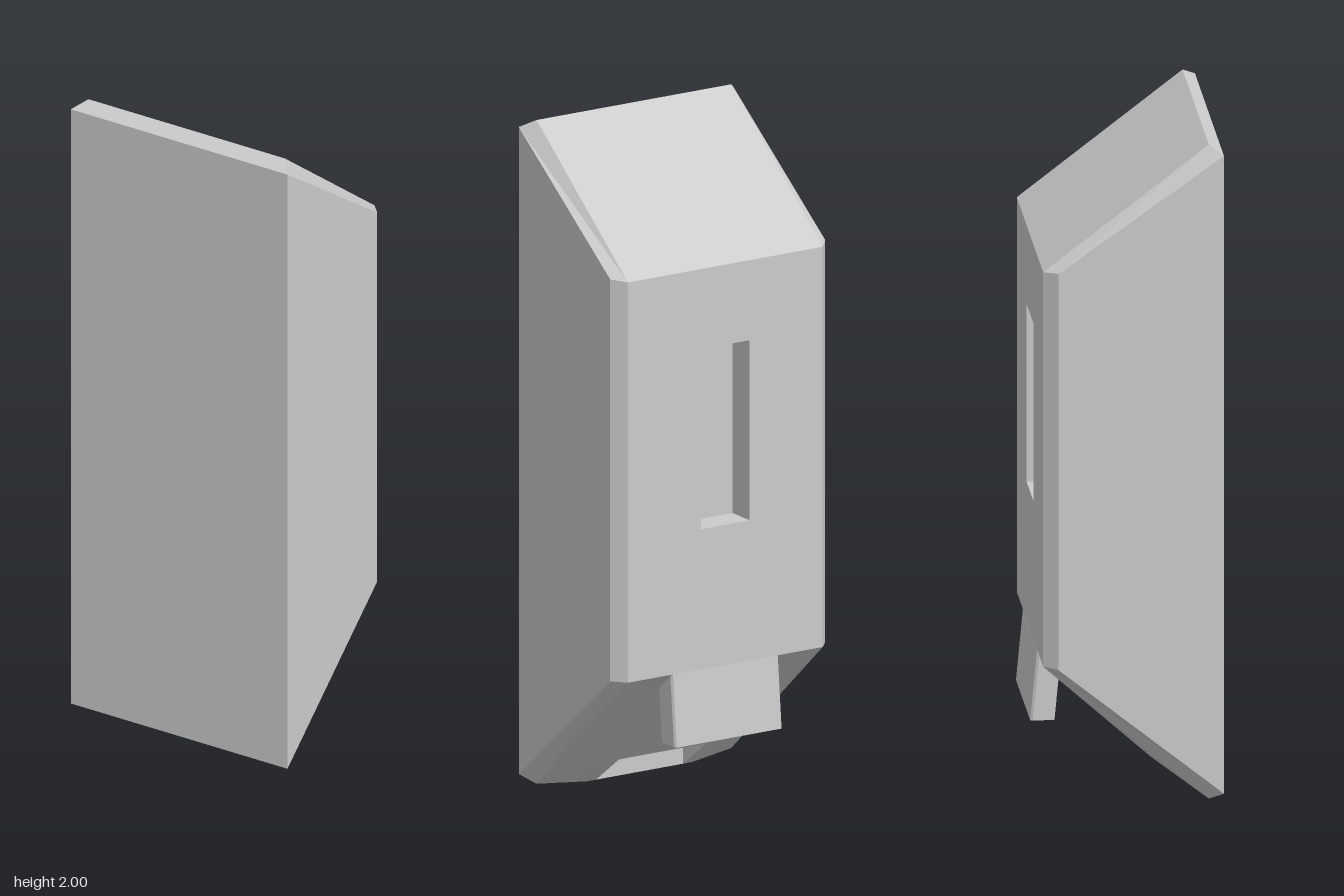
import * as THREE from 'three';

const material = new THREE.MeshStandardMaterial({ color: 0xcccccc, flatShading: true });

// Collects flat faces; each one is turned to face along its hint direction.
function faceBuilder() {
  const positions = [];
  const face = (corners, hint) => {
    const p = corners.map((c) => new THREE.Vector3(...c));
    const normal = new THREE.Vector3();
    for (let i = 1; i < p.length - 1; i++) {
      normal.add(p[i].clone().sub(p[0]).cross(p[i + 1].clone().sub(p[0])));
    }
    if (normal.dot(new THREE.Vector3(...hint)) < 0) p.reverse();
    for (let i = 1; i < p.length - 1; i++) {
      for (const v of [p[0], p[i], p[i + 1]]) positions.push(v.x, v.y, v.z);
    }
  };
  const mesh = (name) => {
    const g = new THREE.BufferGeometry();
    g.setAttribute('position', new THREE.Float32BufferAttribute(positions, 3));
    g.computeVertexNormals();
    const m = new THREE.Mesh(g, material);
    m.name = name;
    return m;
  };
  return { face, mesh };
}

// Point from x and a [y, z] pair
const at = (x, [y, z]) => [x, y, z];
// Quad spanning both sides between two profile points
const across = (x, a, b) => [at(x, a), at(-x, a), at(-x, b), at(x, b)];

// Side outlines as [y, z]: outer flank and inset edge of the chamfer
const OUT = 0.37, IN = 0.335;
const outer = [[1.975, 0.27], [1.635, -0.21], [0.43, -0.21], [0.035, 0.27]];
const inset = [[2.0, 0.23], [1.63, -0.25], [0.43, -0.25], [0.01, 0.23]];

function createShell() {
  const { face, mesh } = faceBuilder();
  face(across(OUT, outer[0], outer[3]), [0, 0, 1]);
  face(across(IN, inset[0], inset[1]), [0, 1, 0]);
  face([...across(OUT, outer[0], outer[0]).slice(0, 2), at(-IN, inset[0]), at(IN, inset[0])], [0, 1, 0]);

  // Flanks and their chamfers
  for (const s of [1, -1]) {
    face(outer.map((p) => at(s * OUT, p)), [s, 0, 0]);
    for (let i = 0; i < 3; i++) {
      face([at(s * OUT, outer[i]), at(s * OUT, outer[i + 1]),
        at(s * IN, inset[i + 1]), at(s * IN, inset[i])], [s, 0, 0]);
    }
  }

  // Back wall around the slot
  const w = 0.084, lo = 0.85, hi = 1.39, back = -0.25, floor = -0.16;
  const rect = (x0, x1, y0, y1, z) => [[x0, y0, z], [x1, y0, z], [x1, y1, z], [x0, y1, z]];
  face(rect(-IN, IN, 0.43, lo, back), [0, 0, -1]);
  face(rect(-IN, IN, hi, 1.63, back), [0, 0, -1]);
  face(rect(-w, w, lo, hi, floor), [0, 0, -1]);
  for (const s of [1, -1]) {
    face(rect(s * w, s * IN, lo, hi, back), [0, 0, -1]);
    face([[s * w, lo, back], [s * w, hi, back], [s * w, hi, floor], [s * w, lo, floor]], [-s, 0, 0]);
    const y = s > 0 ? hi : lo;
    face([[-w, y, back], [w, y, back], [w, y, floor], [-w, y, floor]], [0, -s, 0]);
  }
  return mesh('shell');
}

function createUnderside() {
  const { face, mesh } = faceBuilder();
  const down = [0, -1, -0.5];
  const P = 0.18, N = 0.15;
  const rear = inset[2], front = inset[3];
  const top = [0.37, -0.18], ridge = [0.09, 0.08], lip = [0, 0.2], deep = [0.11, 0.2];

  // Raised centre panel and the strip above it
  face([at(IN, rear), at(-IN, rear), at(-P, top), at(P, top)], down);
  face(across(P, top, ridge), down);

  for (const s of [1, -1]) {
    // Sloping cheeks beside the panel
    face([at(s * IN, rear), at(s * P, top), at(s * P, ridge)], down);
    face([at(s * IN, rear), at(s * P, ridge), at(s * IN, front)], down);
    face([at(s * IN, front), at(s * P, ridge), at(s * P, lip)], down);
    // Rims and end walls of the finger notch
    face([at(s * P, ridge), at(s * N, ridge), at(s * N, lip), at(s * P, lip)], down);
    face([at(s * N, ridge), at(s * N, deep), at(s * N, lip)], [-s, 0, 0]);
  }
  // Finger notch roof and wall
  face(across(N, ridge, deep), [0, -1, 0]);
  face(across(N, deep, lip), [0, 0, -1]);

  // Bevel under the front edge
  face([at(OUT, outer[3]), at(-OUT, outer[3]), at(-IN, front), at(-P, lip),
    at(P, lip), at(IN, front)], [0, -1, 0]);
  return mesh('underside');
}

// Hanging tab with trimmed rear corners, leaning slightly backwards
function createTab() {
  const plan = new THREE.Shape([[-0.185, 0.18], [0.185, 0.18], [0.185, 0.243],
    [0.18, 0.25], [-0.18, 0.25], [-0.185, 0.243]].map((p) => new THREE.Vector2(...p)));
  const g = new THREE.ExtrudeGeometry(plan, { depth: 0.215, bevelEnabled: false });
  g.rotateX(-Math.PI / 2).translate(0, 0.215, 0);
  const pos = g.attributes.position;
  for (let i = 0; i < pos.count; i++) {
    pos.setZ(i, pos.getZ(i) + 0.093 * (pos.getY(i) - 0.43));
  }
  g.computeVertexNormals();
  const tab = new THREE.Mesh(g, material);
  tab.name = 'rearTab';
  return tab;
}

export function createModel() {
  const model = new THREE.Group();
  model.name = 'wallHousing';
  model.add(createShell(), createUnderside(), createTab());
  return model;
}
